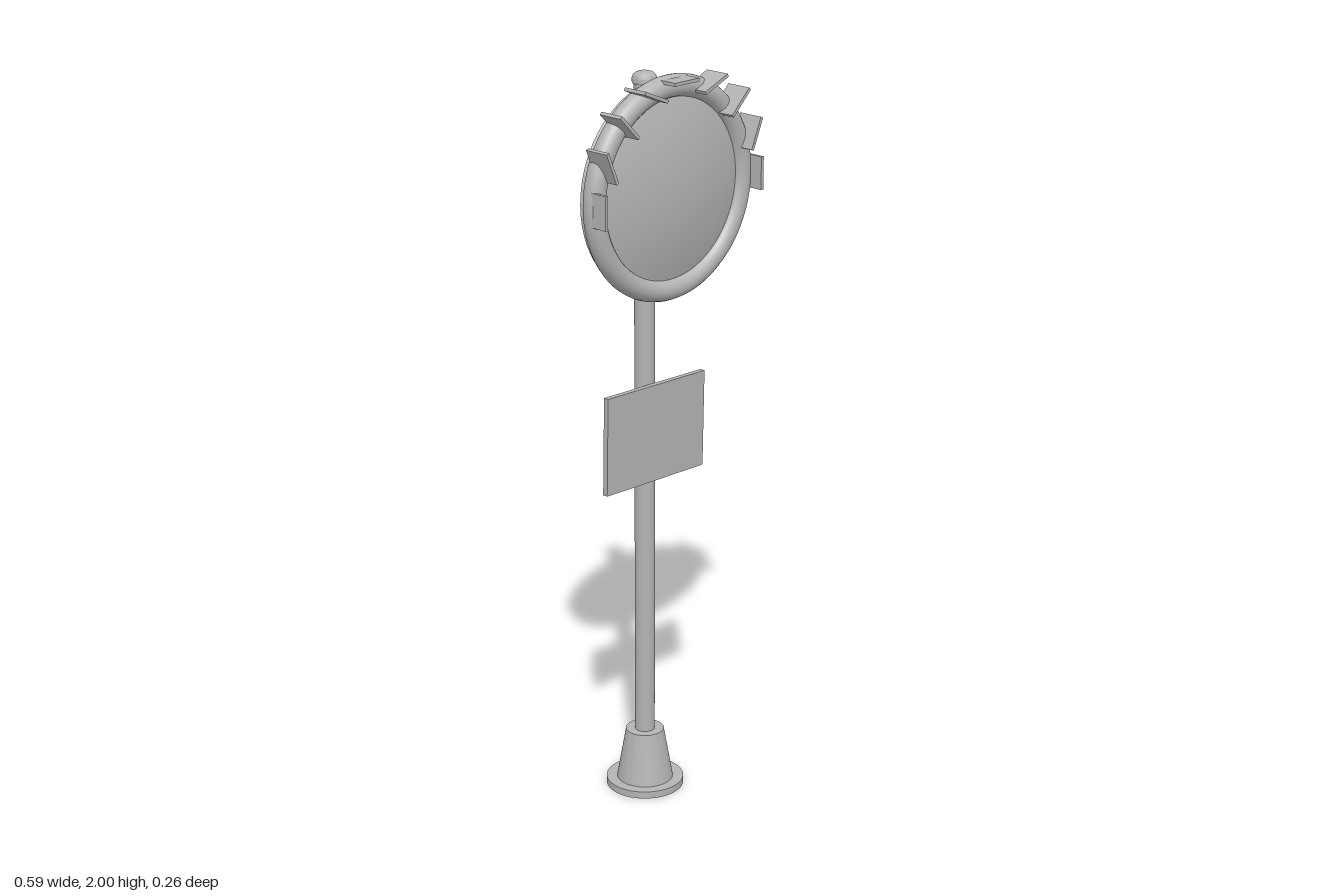
import * as THREE from 'three';
import { toCreasedNormals } from 'three/addons/utils/BufferGeometryUtils.js';

const POLE_Z = -0.025;
const MIRROR_Y = 1.71;

export function createModel() {
  const model = new THREE.Group();
  model.name = 'trafficMirror';
  const grey = new THREE.MeshStandardMaterial({ color: 0xb4b4b4 });
  grey.name = 'grey';

  const add = (name, geometry, x, y, z, parent = model) => {
    const mesh = new THREE.Mesh(geometry, grey);
    mesh.name = name;
    mesh.position.set(x, y, z);
    parent.add(mesh);
    return mesh;
  };
  const lathe = (points, segments = 64) => toCreasedNormals(
    new THREE.LatheGeometry(points.map(([r, h]) => new THREE.Vector2(r, h)), segments), 0.4);

  // Foot: flat disc with a tapered socket
  add('foot', lathe([[0, 0], [0.106, 0], [0.106, 0.02], [0.077, 0.02], [0.052, 0.165], [0, 0.165]], 48), 0, 0, POLE_Z);

  // Pole and its rounded cap
  add('pole', new THREE.CylinderGeometry(0.027, 0.027, 1.83, 32), 0, 1.065, POLE_Z);
  add('poleCap', lathe([[0, 1.968], [0.03, 1.968], [0.032, 1.972], [0.032, 1.982],
    [0.029, 1.99], [0.022, 1.996], [0.012, 1.999], [0, 2]], 32), 0, 0, POLE_Z);

  // Mirror head, facing +z
  const head = new THREE.Group();
  head.name = 'mirrorHead';
  head.position.y = MIRROR_Y;
  model.add(head);

  // Domed back shell with a flat flange
  const shell = [];
  for (let i = 0; i <= 10; i++) {
    const r = 0.022 * i;
    shell.push([r, -0.008 + 0.031 * (r / 0.22) ** 2]);
  }
  shell.push([0.274, 0.023], [0.268, 0.036], [0.25, 0.05]);
  add('backShell', lathe(shell), 0, 0, 0, head).rotation.x = Math.PI / 2;

  // Convex mirror face
  const face = [];
  for (let i = 12; i >= 0; i--) {
    const r = 0.25 * i / 12;
    face.push([r, 0.107 - 0.62 * r * r]);
  }
  add('mirrorFace', lathe(face), 0, 0, 0, head).rotation.x = Math.PI / 2;

  add('rim', new THREE.TorusGeometry(0.264, 0.029, 20, 72), 0, 0, 0.063, head);

  // Fins around the upper half of the rim, turned against the curve
  const finShape = new THREE.BoxGeometry(0.088, 0.009, 0.072);
  for (let i = -4; i <= 4; i++) {
    const a = i * Math.PI / 8;
    const fin = add('rimFin', finShape, 0.282 * Math.sin(a), 0.282 * Math.cos(a), 0.089, head);
    fin.rotation.z = a;
  }

  // Sign plate, hung slightly crooked
  const sign = add('signPlate', new THREE.BoxGeometry(0.36, 0.267, 0.015), 0.002, 1.04, 0.009);
  sign.rotation.z = -0.02;

  // Clamp rings for the mirror and the sign
  const addClamp = (name, y, radius, tube) => {
    add(name, new THREE.TorusGeometry(radius, tube, 10, 36), 0, y, POLE_Z).rotation.x = Math.PI / 2;
  };
  for (const y of [1.67, 1.75]) addClamp('mirrorClamp', y, 0.031, 0.006);
  for (const y of [0.94, 1.14]) addClamp('signClamp', y, 0.03, 0.005);

  // Upright bars joining the mirror clamps, and the block behind the mirror
  for (const side of [-1, 1]) {
    add('clampBar', new THREE.BoxGeometry(0.006, 0.08, 0.012), side * 0.031, 1.71, POLE_Z);
  }
  add('mirrorBracket', new THREE.BoxGeometry(0.06, 0.09, 0.02), 0, 1.71, -0.006);

  return model;
}
